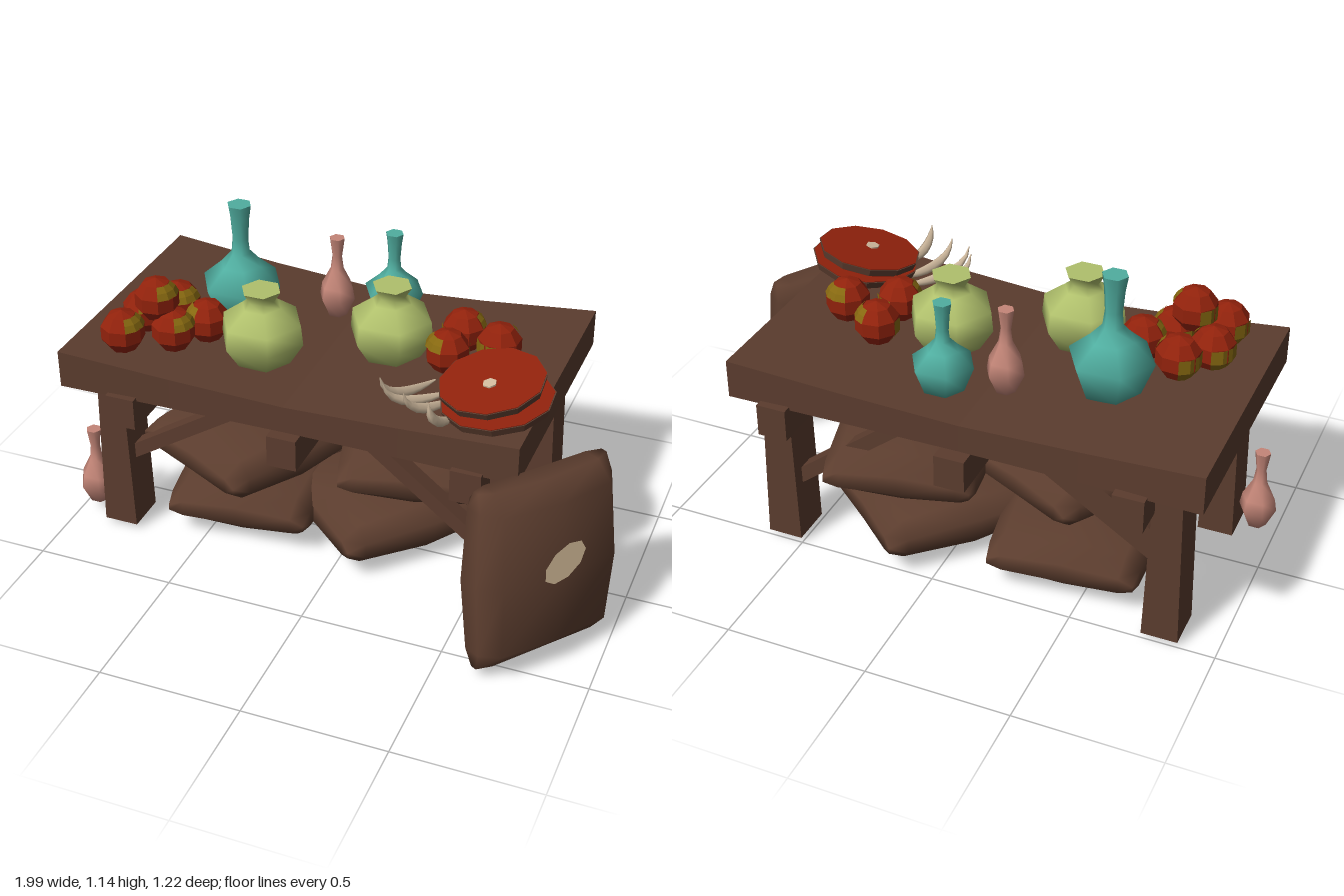
import * as THREE from 'three';
import { mergeVertices } from 'three/addons/utils/BufferGeometryUtils.js';

const flat = { wood: 0x5b3c2e, sackcloth: 0x5d3e2f, patchCloth: 0xdcc29e, teal: 0x50aea0, green: 0xb0c06c,
  pink: 0xc48678, red: 0x92220c, gold: 0x866810, bone: 0xd2bca0 };

// Apply a rule to every vertex
function warp(geo, rule) {
  const p = geo.attributes.position, v = new THREE.Vector3();
  for (let i = 0; i < p.count; i++) {
    v.fromBufferAttribute(p, i);
    rule(v, i);
    p.setXYZ(i, v.x, v.y, v.z);
  }
  geo.computeVertexNormals();
  return geo;
}

function faceted(geo) {
  const g = geo.toNonIndexed();
  g.computeVertexNormals();
  return g;
}

export function createModel() {
  const root = new THREE.Group();
  const mats = {};
  for (const [name, color] of Object.entries(flat)) {
    mats[name] = new THREE.MeshStandardMaterial({ color });
    mats[name].name = name;
  }
  const add = (name, geo, mat, pos = [0, 0, 0], parent = root) => {
    const m = new THREE.Mesh(geo, mats[mat]);
    m.name = name;
    m.position.set(...pos);
    parent.add(m);
    return m;
  };
  const group = (name, pos) => {
    const g = new THREE.Group();
    g.name = name;
    g.position.set(...pos);
    root.add(g);
    return g;
  };

  // Table top, sagging and narrowing towards the middle
  const topGeo = warp(new THREE.BoxGeometry(1.63, 0.135, 0.94, 4, 1, 1), v => {
    const s = 1 - Math.pow(Math.abs(v.x) / 0.815, 1.3);
    v.y -= s * (v.y > 0 ? 0.053 : 0.015);
    v.z *= 1 - 0.065 * s;
  });
  add('tableTop', faceted(topGeo), 'wood', [-0.132, 0.687, -0.12]);

  // Cross beams
  for (const [x, y] of [[-0.717, 0.57], [-0.122, 0.547], [0.515, 0.57]])
    add('crossBeam', new THREE.BoxGeometry(0.105, 0.115, 0.975), 'wood', [x, y, -0.125]);

  // Legs and diagonal braces
  const legGeo = faceted(warp(new THREE.BoxGeometry(0.125, 0.61, 0.15), v => { if (v.y > 0) v.x *= 0.76; }));
  const brace = (a, b, z) => {
    const dx = b[0] - a[0], dy = b[1] - a[1];
    const m = add('brace', new THREE.BoxGeometry(Math.hypot(dx, dy), 0.05, 0.06), 'wood',
      [(a[0] + b[0]) / 2, (a[1] + b[1]) / 2, z]);
    m.rotation.z = Math.atan2(dy, dx);
  };
  for (const z of [0.185, -0.425]) {
    for (const x of [-0.81, 0.565]) add('leg', legGeo, 'wood', [x, 0.325, z]);
    brace([-0.8, 0.285], [-0.26, 0.63], z);
    brace([0.54, 0.235], [0.05, 0.62], z);
  }

  // Plump sacks with thin corners and swelling sides, each with a sewn patch
  const fullness = u => 0.3 + 0.7 * (1 - Math.pow(Math.abs(u), 6));
  const spread = u => Math.abs(u) > 0.4 && Math.abs(u) < 0.6 ? Math.sign(u) * 0.8 : u;
  function sack(name, [w, h, t], pos, rot) {
    const g = group(name, pos);
    let geo = new THREE.BoxGeometry(w, h, t, 4, 4, 1);
    geo.deleteAttribute('normal');
    geo.deleteAttribute('uv');
    geo = warp(mergeVertices(geo), p => {
      const u = spread(p.x / (w / 2)), v = spread(p.y / (h / 2));
      p.z *= fullness(u) * fullness(v);
      p.x = u * w / 2 * (1 + 0.1 * (1 - v * v));
      p.y = v * h / 2 * (1 - 0.03 * (1 - u * u));
    });
    add('sackBody', geo, 'sackcloth', [0, 0, 0], g);
    const patch = warp(new THREE.CircleGeometry(0.072, 9), p => {
      p.x = p.x * 1.15 - 0.005;
      p.y = p.y * 0.85 + p.x * 0.3 + 0.055;
      p.z = t / 2 + 0.004;
    });
    add('sackPatch', patch, 'patchCloth', [0, 0, 0], g);
    g.rotation.set(rot[0], rot[1], rot[2], 'YXZ');
  }
  const Q = Math.PI / 2, lying = [0.5, 0.67, 0.23];
  sack('lowerLeftSack', lying, [-0.405, 0.12, -0.115], [Q, 0.1, 0]);
  sack('lowerRightSack', lying, [0.105, 0.12, -0.14], [Q, -0.7, 0]);
  sack('upperLeftSack', lying, [-0.375, 0.35, -0.04], [-Q, -0.46, 0]);
  sack('upperRightSack', lying, [0.19, 0.35, -0.18], [-Q, 0.2, 0]);
  sack('standingSack', [0.515, 0.635, 0.265], [0.765, 0.343, 0.338], [-0.12, 0.96, -0.06]);

  // Six-sided vases with a flat mouth
  const vase = (name, pts, mat, pos, scale = 1) => {
    const g = group(name, pos);
    const [r, h] = pts[pts.length - 1];
    add(name + 'Body', new THREE.LatheGeometry(pts.map(p => new THREE.Vector2(...p)), 6, Q), mat, [0, 0, 0], g);
    add(name + 'Mouth', new THREE.CircleGeometry(r, 6), mat, [0, h, 0], g).rotation.x = -Q;
    g.scale.setScalar(scale);
  };
  const longNeck = [[0, 0], [0.1, 0], [0.147, 0.125], [0.075, 0.19], [0.036, 0.235],
    [0.03, 0.29], [0.036, 0.37], [0.044, 0.42]];
  const squat = [[0, 0], [0.1, 0], [0.15, 0.08], [0.143, 0.15], [0.07, 0.205], [0.046, 0.225], [0.07, 0.265]];
  const slim = [[0, 0], [0.035, 0], [0.066, 0.07], [0.058, 0.115], [0.025, 0.18], [0.018, 0.23], [0.028, 0.3]];
  vase('tallVase', longNeck, 'teal', [-0.505, 0.72, -0.195]);
  vase('smallVase', longNeck, 'teal', [-0.004, 0.718, -0.39], 0.74);
  vase('squatVase', squat, 'green', [-0.313, 0.71, 0.063]);
  vase('squatVase', squat, 'green', [0.085, 0.71, -0.125]);
  vase('slimBottle', slim, 'pink', [-0.192, 0.71, -0.32]);
  vase('floorBottle', slim, 'pink', [-0.936, 0.045, 0.185]);

  // Fruit with a golden blush high on one side and low on the other; last number is the upper heading
  const fruitGeo = faceted(new THREE.SphereGeometry(0.079, 8, 5));
  const blushGeo = [[0, 1, 1], [Math.PI, 2, 2]].map(([phi, row, rows]) =>
    faceted(new THREE.SphereGeometry(0.0805, 2, rows, phi, Q, row * Math.PI / 5, rows * Math.PI / 5)));
  const fruits = [[-0.68, 0.8, -0.045, 1.1], [-0.765, 0.8, 0.055, 1], [-0.535, 0.795, 0.03, -1],
    [-0.615, 0.795, 0.13, 1.3], [-0.765, 0.805, 0.215, 1.4], [-0.68, 0.895, 0.115, 1.3],
    [0.312, 0.795, -0.228, 2.1], [0.46, 0.81, -0.152, 2.7], [0.306, 0.8, -0.065, -0.8]];
  for (const [x, y, z, heading] of fruits) {
    const g = group('fruit', [x, y, z]);
    add('fruitBody', fruitGeo, 'red', [0, 0, 0], g);
    for (const b of blushGeo) add('fruitBlush', b, 'gold', [0, 0, 0], g);
    g.rotation.y = heading + Math.PI / 4;
  }

  // Two tilted plates, red above and below with a brown rim
  const plate = (r, pos, tiltX, tiltZ) => {
    const g = group('plate', pos);
    add('plateRim', faceted(new THREE.CylinderGeometry(r, r * 0.95, 0.026, 11)), 'wood', [0, 0, 0], g);
    add('plateFace', faceted(new THREE.CylinderGeometry(r * 0.98, r * 0.93, 0.031, 11)), 'red', [0, 0, 0], g);
    g.rotation.set(tiltX, 0.2, tiltZ);
    return g;
  };
  plate(0.19, [0.55, 0.785, 0.155], 0.03, 0.13);
  const upper = plate(0.18, [0.525, 0.834, 0.135], 0.11, 0.15);
  add('plateDot', new THREE.CylinderGeometry(0.024, 0.024, 0.006, 6), 'bone', [-0.005, 0.018, 0.02], upper);

  // Curved horns lying on the table with upturned tips
  const horn = (a, b) => {
    const A = new THREE.Vector3(...a), B = new THREE.Vector3(...b);
    const mid = A.clone().lerp(B, 0.92).setY(A.y - 0.015);
    const curve = new THREE.QuadraticBezierCurve3(A, mid, B);
    const geo = warp(new THREE.TubeGeometry(curve, 8, 0.018, 5), (v, i) => {
      const t = Math.floor(i / 6) / 8;
      v.lerp(curve.getPointAt(t), 1 - Math.sin(Math.PI * (0.06 + 0.92 * t)));
    });
    add('horn', geo, 'bone');
  };
  horn([0.3, 0.745, 0.04], [0.18, 0.845, 0.245]);
  horn([0.37, 0.75, 0.1], [0.205, 0.85, 0.285]);
  horn([0.4, 0.755, 0.14], [0.285, 0.85, 0.315]);
  horn([0.44, 0.76, 0.24], [0.385, 0.86, 0.36]);

  return root;
}
